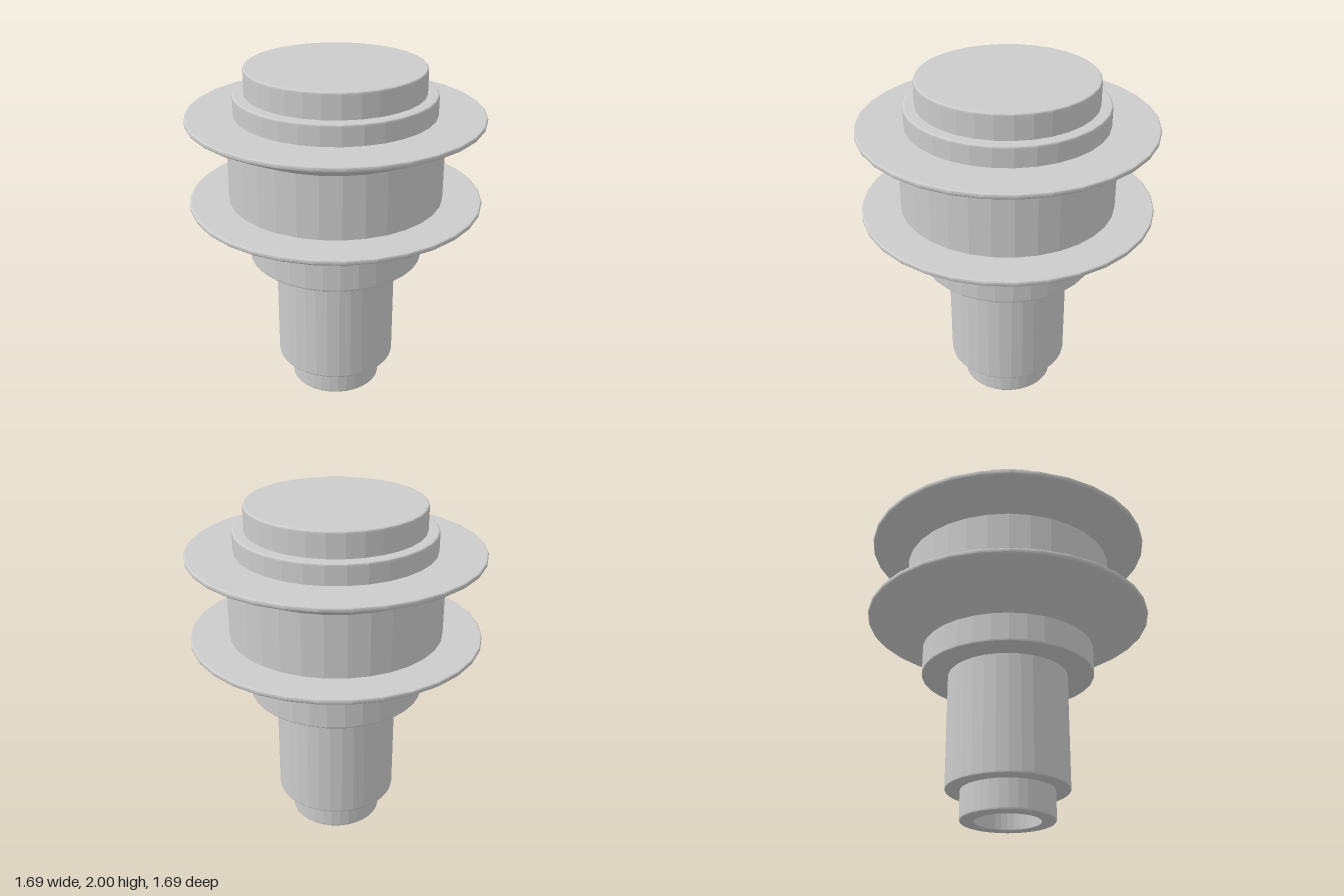
import * as THREE from 'three';

const SIDES = 32;
const BEVEL = 0.012;

// Rounds every inner corner of a [radius, height] profile with a small curve
function bevelled(points) {
  const p = points.map(([r, y]) => new THREE.Vector2(r, y));
  const out = [p[0]];
  for (let i = 1; i < p.length - 1; i++) {
    const toPrev = p[i - 1].clone().sub(p[i]);
    const toNext = p[i + 1].clone().sub(p[i]);
    const size = Math.min(BEVEL, toPrev.length() * 0.4, toNext.length() * 0.4);
    const a = p[i].clone().addScaledVector(toPrev.normalize(), size);
    const b = p[i].clone().addScaledVector(toNext.normalize(), size);
    out.push(...new THREE.QuadraticBezierCurve(a, p[i], b).getPoints(3));
  }
  out.push(p[p.length - 1]);
  return out;
}

export function createModel() {
  const group = new THREE.Group();
  const material = new THREE.MeshStandardMaterial({ color: 0xcccccc, flatShading: true });

  // Sections join end to end into one closed turned body
  const sections = {
    bore: [[0, 0.86], [0.187, 0.86], [0.187, 0.01]],
    tip: [[0.187, 0.01], [0.187, 0], [0.27, 0], [0.27, 0.172]],
    shaft: [[0.27, 0.172], [0.355, 0.172], [0.355, 0.86]],
    collar: [[0.355, 0.86], [0.51, 0.86], [0.51, 1.03]],
    lowerFlange: [[0.51, 1.03], [0.845, 1.21], [0.845, 1.237], [0.62, 1.237]],
    drum: [[0.62, 1.237], [0.62, 1.6]],
    upperFlange: [[0.62, 1.6], [0.845, 1.71], [0.845, 1.737], [0.575, 1.737]],
    step: [[0.575, 1.737], [0.575, 1.855], [0.51, 1.855]],
    cap: [[0.51, 1.855], [0.51, 2], [0, 2]],
  };

  for (const [name, profile] of Object.entries(sections)) {
    const mesh = new THREE.Mesh(new THREE.LatheGeometry(bevelled(profile), SIDES), material);
    mesh.name = name;
    group.add(mesh);
  }
  return group;
}
